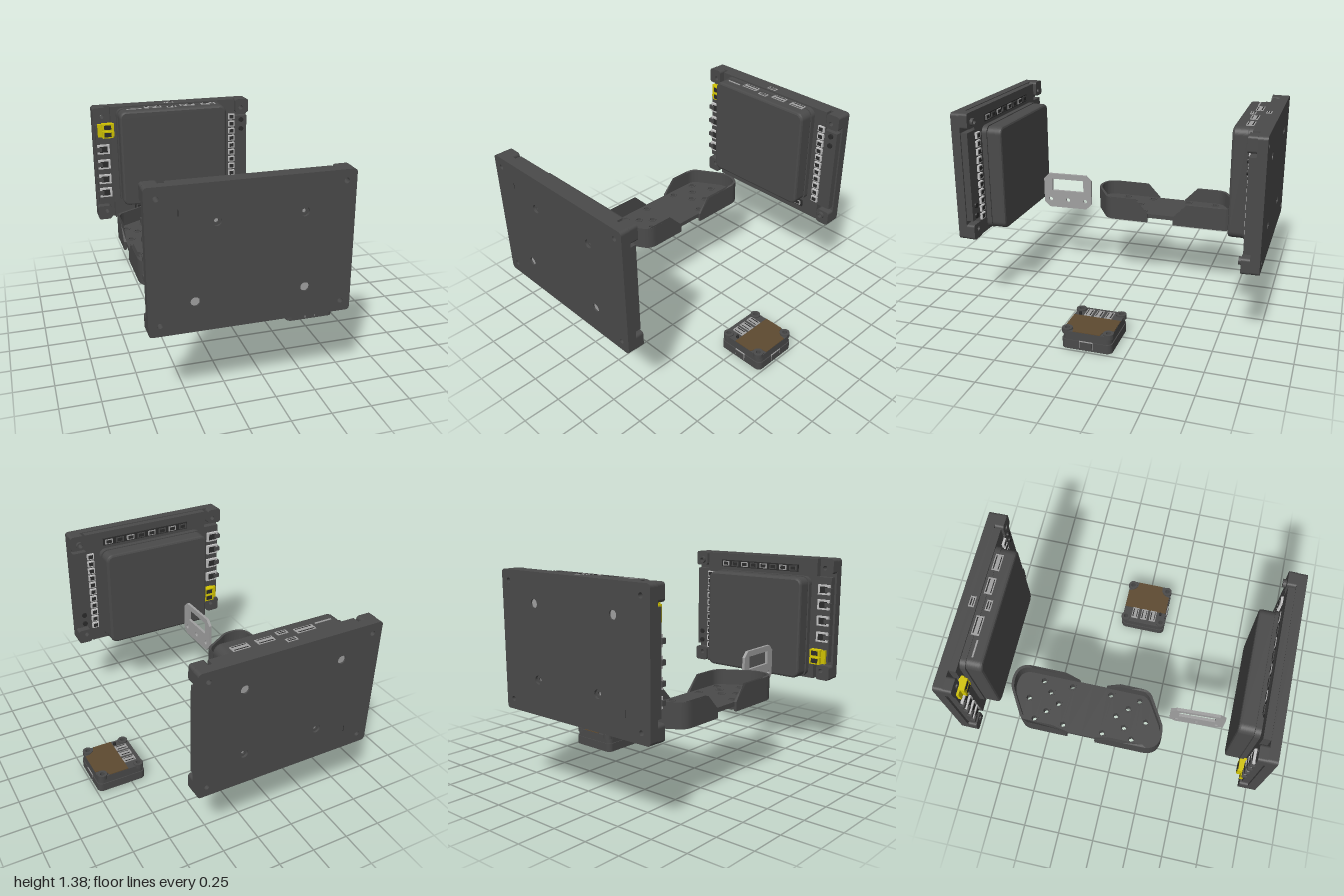
import * as THREE from 'three';

const mat = (name, color) => Object.assign(new THREE.MeshStandardMaterial({ color }), { name });
const body = mat('charcoal plastic', 0x4a4a4a);
const dark = mat('dark recess', 0x2b2b2b);
const metal = mat('light metal', 0xa0a0a0);
const white = mat('pale socket', 0xc4c4c4);
const yellow = mat('yellow plug', 0xd2c400);
const brown = mat('brown panel', 0x5e4a30);

function add(parent, name, geo, material, x = 0, y = 0, z = 0) {
  const m = new THREE.Mesh(geo, material);
  m.name = name;
  m.position.set(x, y, z);
  parent.add(m);
  return m;
}
const box = (parent, name, material, x0, x1, y0, y1, z0, z1) =>
  add(parent, name, new THREE.BoxGeometry(x1 - x0, y1 - y0, z1 - z0), material,
    (x0 + x1) / 2, (y0 + y1) / 2, (z0 + z1) / 2);

// Rectangle with rounded corners
function roundRect(x0, y0, x1, y1, r) {
  const s = new THREE.Shape();
  s.moveTo(x0 + r, y0);
  s.absarc(x1 - r, y0 + r, r, -Math.PI / 2, 0);
  s.absarc(x1 - r, y1 - r, r, 0, Math.PI / 2);
  s.absarc(x0 + r, y1 - r, r, Math.PI / 2, Math.PI);
  s.absarc(x0 + r, y0 + r, r, Math.PI, Math.PI * 1.5);
  return s;
}
const poly = pts => new THREE.Shape(pts.map(p => new THREE.Vector2(...p)));
// Cut round or hexagonal holes
function drill(shape, pts, r, n = 20) {
  for (const [x, y] of pts) {
    const c = [];
    for (let i = 0; i < n; i++) {
      const a = -i / n * Math.PI * 2;
      c.push(new THREE.Vector2(x + Math.cos(a) * r, y + Math.sin(a) * r));
    }
    shape.holes.push(new THREE.Path(c));
  }
  return shape;
}
const extrude = (shape, depth, bevel = 0) => new THREE.ExtrudeGeometry(shape, {
  depth, bevelEnabled: bevel > 0, bevelSize: bevel, bevelThickness: bevel,
  bevelOffset: -bevel, bevelSegments: 2, curveSegments: 6,
});
// Extrude upward from a plan drawn as (x, -z)
const extrudeUp = (shape, depth) => extrude(shape, depth).rotateX(-Math.PI / 2);
const ring = (x, y, R, r, n = 20) => drill(drillOutline(x, y, R, n), [[x, y]], r, n);
function drillOutline(x, y, R, n) {
  const c = [];
  for (let i = 0; i < n; i++) c.push([x + Math.cos(i / n * Math.PI * 2) * R, y + Math.sin(i / n * Math.PI * 2) * R]);
  return poly(c);
}

// Socket facing +z with a dark opening
function socket(parent, name, material, x, y, w, h, z0, z1) {
  box(parent, name, material, x - w / 2, x + w / 2, y - h / 2, y + h / 2, z0, z1);
  box(parent, name + 'Opening', dark, x - w * 0.32, x + w * 0.32, y - h * 0.32, y + h * 0.32, z1, z1 + 0.002);
}
// Port on a top surface
function topPort(parent, name, x0, x1, z0, z1, y) {
  box(parent, name, metal, x0, x1, y - 0.004, y + 0.002, z0, z1);
  if (z1 - z0 > 0.02) {
    box(parent, name + 'Opening', dark, x0 + 0.01, x1 - 0.01, y, y + 0.003, z0 + 0.007, z0 + 0.014);
    box(parent, name + 'Opening', dark, x0 + 0.01, x1 - 0.01, y, y + 0.003, z1 - 0.012, z1 - 0.007);
  }
}

// Control unit: mounting plate at z = -1, lid facing +z, centred on y = 0
function controlUnit(name) {
  const g = new THREE.Group();
  g.name = name;
  const corners = [[-0.685, -0.365], [0.38, -0.365], [-0.685, 0.365], [0.38, 0.365]];
  const big = [[-0.485, 0.245], [0.155, 0.245]], small = [[-0.36, -0.21], [0.14, -0.21]];

  const base = drill(roundRect(-0.75, -0.43, 0.44, 0.43, 0.022), corners, 0.016);
  drill(drill(base, big, 0.027), small, 0.027);
  add(g, 'mountingPlate', extrude(base, 0.06), body, 0, 0, -1);
  for (const [x, y] of big) add(g, 'threadedInsert', extrude(drillOutline(x, y, 0.027, 20), 0.03), metal, 0, 0, -0.99);
  for (const [x, y] of small) {
    add(g, 'screwRecess', extrude(ring(x, y, 0.027, 0.012), 0.03), body, 0, 0, -0.985);
    add(g, 'screwHole', extrude(drillOutline(x, y, 0.013, 16), 0.02), metal, 0, 0, -0.975);
  }
  box(g, 'plateMark', dark, -0.572, -0.568, -0.3, -0.26, -1.001, -0.995);

  // Stepped body and four corner posts
  const core = poly([[-0.62, -0.425], [0.33, -0.425], [0.33, -0.3], [0.43, -0.3], [0.43, 0.3], [0.33, 0.3],
    [0.33, 0.43], [-0.62, 0.43], [-0.62, 0.3], [-0.735, 0.3], [-0.735, -0.3], [-0.62, -0.3]]);
  add(g, 'housing', extrude(core, 0.045), body, 0, 0, -0.94);
  for (const [x, y] of corners) {
    const sx = x < 0 ? -0.75 : 0.34, sy = y < 0 ? -0.43 : 0.325;
    const post = drill(roundRect(sx, sy, sx + 0.1, sy + 0.105, 0.018), [[x, y]], 0.016);
    add(g, 'cornerPost', extrude(post, 0.055), body, 0, 0, -0.94);
  }
  add(g, 'cornerBoss', extrude(ring(0.38, -0.365, 0.026, 0.016), 0.02), body, 0, 0, -0.885);

  // Raised lid
  add(g, 'lidSkirt', extrude(roundRect(-0.58, -0.3, 0.235, 0.42, 0.05), 0.04), body, 0, 0, -0.9);
  add(g, 'lid', extrude(roundRect(-0.572, -0.296, 0.228, 0.418, 0.05), 0.08, 0.015), body, 0, 0, -0.856);

  // Ports along the upper edge
  const top = 0.42;
  topPort(g, 'cardSlot', -0.51, -0.4, -0.835, -0.825, top);
  topPort(g, 'videoPort', -0.375, -0.25, -0.88, -0.83, top);
  topPort(g, 'smallPort', -0.21, -0.14, -0.845, -0.81, top);
  topPort(g, 'smallPort', -0.21, -0.14, -0.945, -0.91, 0.43);
  for (const x of [-0.105, 0.055]) topPort(g, 'widePort', x, x + 0.11, -0.88, -0.83, top);

  // Power plug and drive sockets on one side
  for (const y of [0.235, 0.29]) socket(g, 'powerPlug', yellow, -0.65, y, 0.08, 0.05, -0.9, -0.85);
  box(g, 'powerPlugBack', yellow, -0.72, -0.6, 0.215, 0.31, -0.9, -0.875);
  for (const y of [0.12, 0.005, -0.11, -0.215]) {
    socket(g, 'driveSocket', white, -0.685, y, 0.09, 0.07, -0.9, -0.878);
    box(g, 'driveSocketLatch', body, -0.745, -0.7, y - 0.015, y + 0.015, -0.9, -0.87);
  }
  // Signal sockets on the other side
  for (let i = 0; i < 11; i++) socket(g, 'signalSocket', white, 0.305, 0.3 - i * 0.056, 0.05, 0.042, -0.9, -0.88);
  for (const y of [0.27, 0.2]) add(g, 'button', extrude(drillOutline(0.385, y, 0.018, 16), 0.012), dark, 0, 0, -0.895);
  // Row of sockets below the lid
  box(g, 'lowerSocketStrip', dark, -0.47, 0.2, -0.375, -0.325, -0.9, -0.885);
  for (let i = 0; i < 8; i++) socket(g, 'lowerSocket', i % 2 ? metal : body, -0.43 + i * 0.084, -0.35, 0.06, 0.035, -0.9, -0.88);
  return g;
}

// Two-ended tray with a narrow waist and point symmetry
function tray() {
  const g = new THREE.Group();
  g.name = 'tray';
  const holes = [[0, 0.405], [-0.135, 0.335], [0.135, 0.335], [-0.067, 0.27], [0.067, 0.27], [0, 0.2], [-0.135, 0.135], [0.135, 0.135]];
  const outline = (s, k) => { // k pulls the outline inward
    s.lineTo(0.195 - k, 0.42);
    s.quadraticCurveTo(0.195 - k, 0.53 - k, 0.08, 0.53 - k);
    s.quadraticCurveTo(0.03, 0.53 - k, 0, 0.51 - k);
    s.lineTo(-0.15 + k * 0.6, 0.42 - k * 0.8);
    s.quadraticCurveTo(-0.195 + k, 0.395 - k, -0.195 + k, 0.34);
    return s;
  };
  const trace = k => {
    const s = new THREE.Shape();
    s.moveTo(0.195 - k, 0.19);
    return outline(s, k).getPoints(8).map(p => [p.x, p.y]);
  };
  const k = 0.018;
  const wallShape = poly([[0.195, 0.095], ...trace(0), [-0.195, 0.19], [-0.195, 0.095],
    [-0.195 + k, 0.095], [-0.195 + k, 0.19], ...trace(k).reverse(), [0.195 - k, 0.095]]);
  const floorShape = drill(poly([[0.18, 0], [0.18, 0.1], ...trace(0.004), [-0.18, 0.1], [-0.18, 0]]), holes, 0.019, 6);
  for (let e = 0; e < 2; e++) {
    const end = new THREE.Group();
    end.name = 'trayEnd';
    end.rotation.y = e * Math.PI;
    g.add(end);
    const wall = extrudeUp(wallShape, 0.16);
    const p = wall.attributes.position;
    // Slope the wall down to the waist
    for (let i = 0; i < p.count; i++) if (p.getY(i) > 0.1) {
      p.setY(i, 0.06 + 0.1 * Math.min(1, Math.max(0, (-p.getZ(i) - 0.095) / 0.095)));
    }
    wall.computeVertexNormals();
    add(end, 'trayWall', wall, body);
    add(end, 'trayFloor', extrudeUp(floorShape, 0.03), body, 0, 0.03, 0);
    for (const [x, v] of holes) {
      add(end, 'holeCollar', extrudeUp(ring(x, v, 0.03, 0.019, 6), 0.064), body);
      // Ribs under the floor
      for (const [x2, v2] of holes) {
        const d = Math.hypot(x2 - x, v2 - v);
        if (d > 0.16 || x2 < x || (x2 === x && v2 <= v)) continue;
        const rib = add(end, 'floorRib', new THREE.BoxGeometry(d - 0.05, 0.03, 0.01), body, (x + x2) / 2, 0.018, -(v + v2) / 2);
        rib.rotation.y = Math.atan2(v2 - v, x2 - x);
      }
    }
    for (const x of [-0.1, 0.1]) box(end, 'waistRib', body, x - 0.005, x + 0.005, 0.02, 0.035, -0.16, 0);
  }
  g.position.set(-0.465, 0.5, -0.2);
  return g;
}

// Flat bracket with a window, drawn as (z, y)
function bracket() {
  const c = 0.04, a = -0.183, b = 0.183, h = 0.26;
  const s = poly([[a + c, 0], [b - c, 0], [b, c], [b, h - c], [b - c, h], [a + c, h], [a, h - c], [a, c]]);
  s.holes.push(new THREE.Path([[-0.122, 0.13], [-0.122, 0.22], [0.118, 0.22], [0.118, 0.13]].map(p => new THREE.Vector2(...p))));
  drill(s, [[-0.135, 0.06], [0, 0.06], [0.135, 0.06]], 0.016);
  const geo = extrude(s, 0.02).translate(0, 0, -0.01).rotateY(-Math.PI / 2);
  const m = new THREE.Mesh(geo, metal);
  m.name = 'sensorBracket';
  m.position.set(-0.38, 0.505, 0.537);
  m.rotation.y = 0.045;
  return m;
}

// Small hub with upward ports and a brown cover panel
function hub() {
  const g = new THREE.Group();
  g.name = 'hub';
  const posts = [[-0.132, -0.135], [0.132, -0.135], [-0.132, 0.135], [0.132, 0.135]];
  const shell = k => drill(roundRect(-0.172 + k, -0.165 + k, 0.172 - k, 0.165 - k, 0.035), posts, 0.016);
  add(g, 'hubLower', extrudeUp(shell(0), 0.06), body, 0, 0.006, 0);
  add(g, 'hubUpper', extrudeUp(shell(0.006), 0.056), body, 0, 0.066, 0);
  for (const [x, v] of posts) add(g, 'hubPost', extrudeUp(ring(x, v, 0.034, 0.016), 0.032), body, 0, 0.1, 0);
  const half = [[0.085, 0.158], [0.098, 0.12], [0.13, 0.095], [0.165, 0.09]];
  const panel = poly([[-0.05, -0.158], ...half.map(([x, v]) => [x, -v]), ...half.slice().reverse(), [-0.05, 0.158]]);
  add(g, 'coverPanel', extrudeUp(panel, 0.006), brown, 0, 0.12, 0);
  for (const z of [-0.07, 0, 0.067]) topPort(g, 'hubPort', -0.135, -0.05, z - 0.024, z + 0.024, 0.128);
  add(g, 'hubButton', new THREE.CylinderGeometry(0.01, 0.01, 0.02, 12), dark, -0.065, 0.13, 0.12);
  // Framed ports on the sides
  box(g, 'sidePortFrame', metal, -0.04, 0.04, 0.018, 0.068, 0.16, 0.167);
  box(g, 'sidePort', body, -0.035, 0.035, 0.018, 0.063, 0.162, 0.169);
  box(g, 'sidePortFrame', metal, 0.168, 0.173, 0.018, 0.068, -0.045, 0.045);
  box(g, 'sidePort', body, 0.17, 0.175, 0.018, 0.063, -0.04, 0.04);
  // Grille under the hub
  add(g, 'grilleRecess', new THREE.CylinderGeometry(0.12, 0.12, 0.004, 24), dark, 0, 0.005, 0);
  for (let i = 0; i < 6; i++) add(g, 'grilleSpoke', new THREE.BoxGeometry(0.24, 0.006, 0.012), body, 0, 0.003, 0).rotation.y = i * Math.PI / 6;
  for (const r of [0.05, 0.09, 0.125]) add(g, 'grilleRing', extrudeUp(ring(0, 0, r, r - 0.01, 24), 0.006), body);
  g.position.set(0.568, 0, 0);
  return g;
}

export function createModel() {
  const model = new THREE.Group();
  model.name = 'controllerKit';
  const back = controlUnit('backControlUnit');
  const front = controlUnit('frontControlUnit');
  front.rotation.x = Math.PI;
  back.position.y = front.position.y = 0.95;
  model.add(back, front, tray(), bracket(), hub());
  return model;
}
